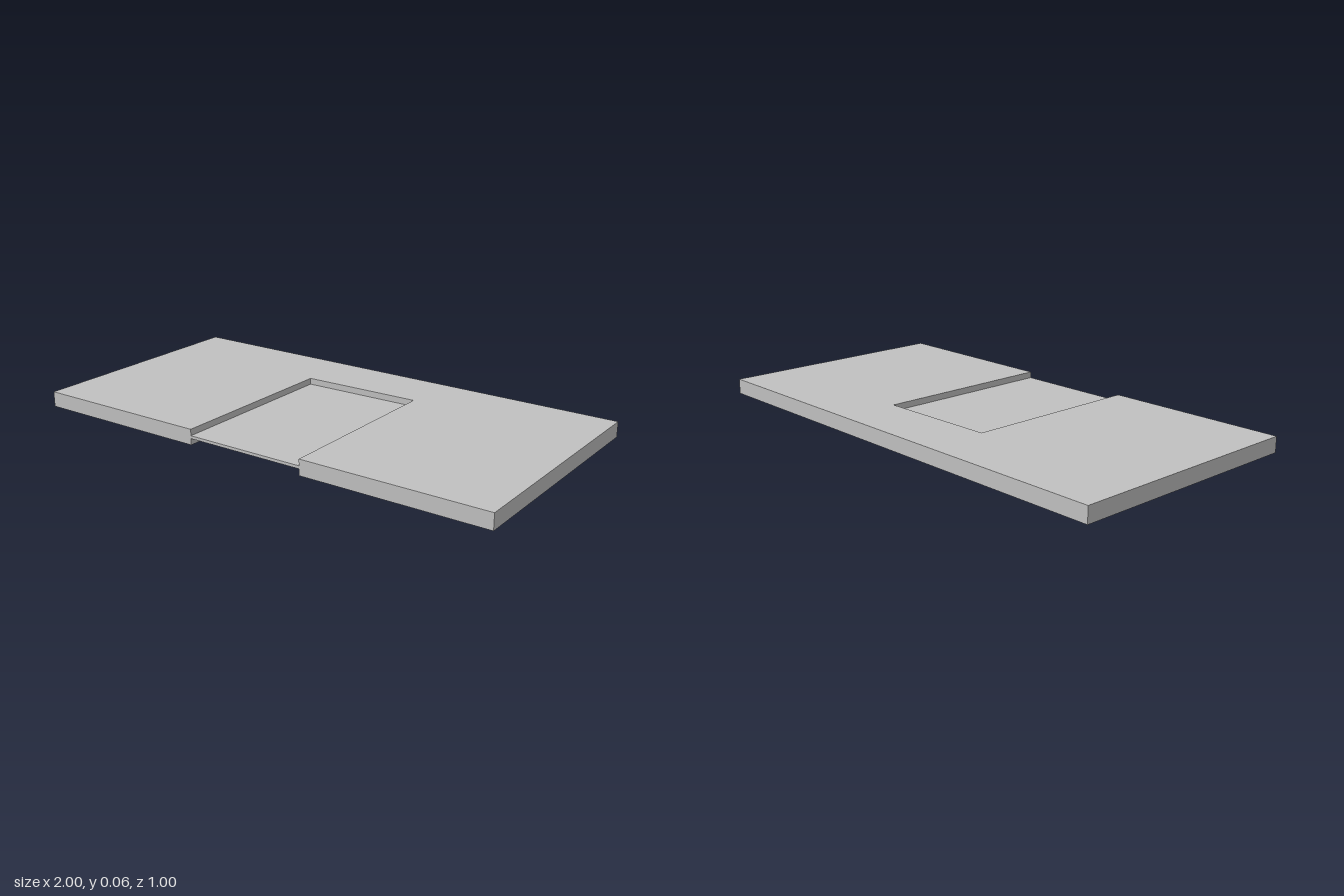
import * as THREE from 'three';

const HEIGHT = 0.0625;
const WEB = 0.0115; // thickness of the thin floor inside the notch
// Notch outline in plan (x, z); its back edge is slightly skewed
const NOTCH = [[-0.255, 0.5], [-0.255, -0.25], [0.245, -0.26], [0.245, 0.5]];

// Extrudes a plan outline of (x, z) points upward from y = base
function plate(points, base, height) {
  const shape = new THREE.Shape(points.map(([x, z]) => new THREE.Vector2(x, -z)));
  const geometry = new THREE.ExtrudeGeometry(shape, { depth: height, bevelEnabled: false });
  return geometry.rotateX(-Math.PI / 2).translate(0, base, 0);
}

export function createModel() {
  const group = new THREE.Group();
  group.name = 'notchedSlab';
  const grey = new THREE.MeshStandardMaterial({ color: 0xc0c0c0 });
  grey.name = 'light grey';

  // Main slab with a notch open to the front
  const outline = [[-1, 0.5], ...NOTCH, [1, 0.5], [1, -0.5], [-1, -0.5]];
  const slab = new THREE.Mesh(plate(outline, 0, HEIGHT), grey);
  slab.name = 'slab';

  // Thin web filling the notch at mid height, leaving a recess above and below
  const web = new THREE.Mesh(plate(NOTCH, (HEIGHT - WEB) / 2, WEB), grey);
  web.name = 'recessWeb';

  group.add(slab, web);
  return group;
}
